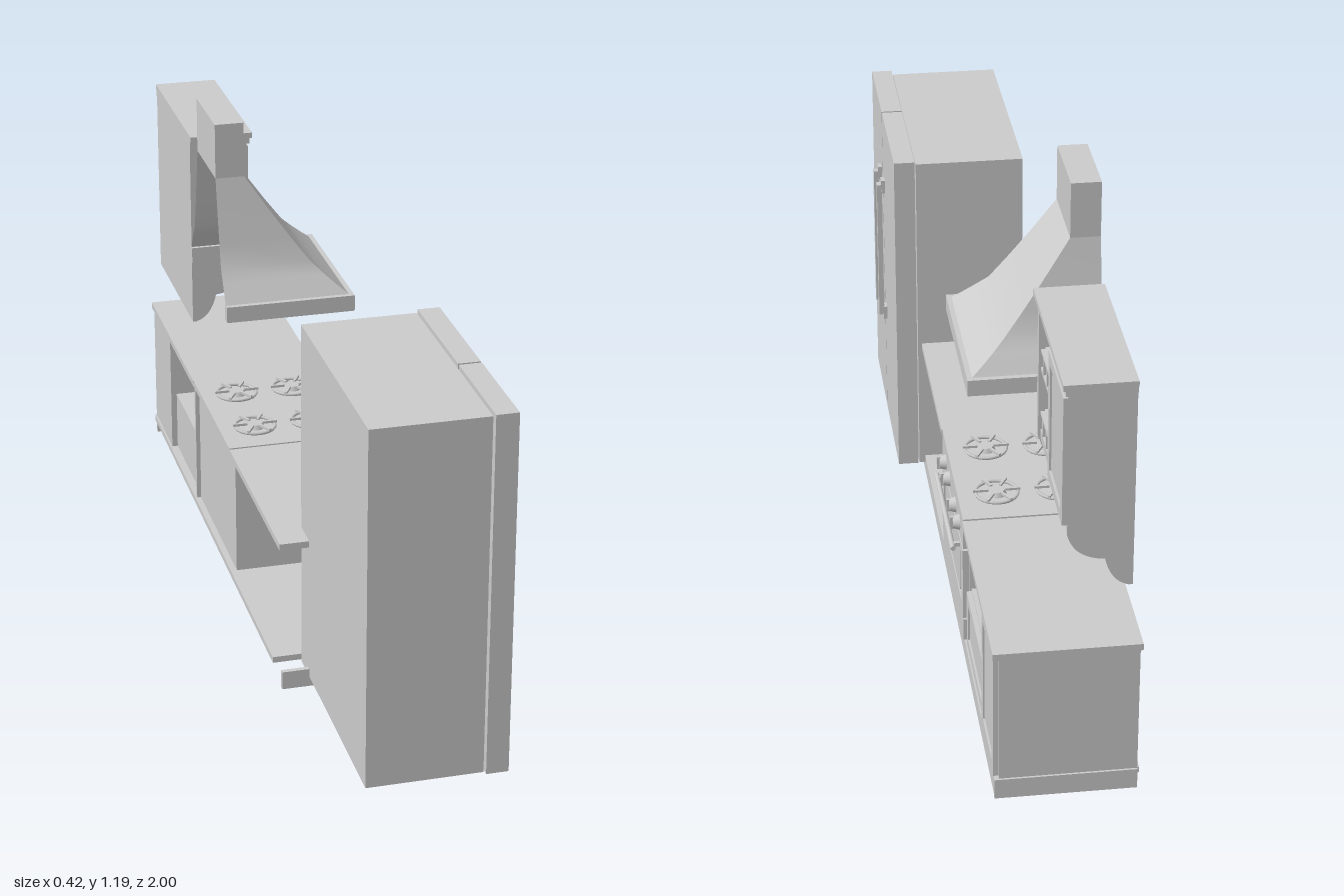
import * as THREE from 'three';

const mat = new THREE.MeshStandardMaterial({ color: 0xcccccc });
const thin = new THREE.MeshStandardMaterial({ color: 0xcccccc, side: THREE.DoubleSide });

function add(parent, name, geo, material = mat) {
  const m = new THREE.Mesh(geo, material);
  m.name = name;
  parent.add(m);
  return m;
}

function box(parent, name, x0, x1, y0, y1, z0, z1) {
  const m = add(parent, name, new THREE.BoxGeometry(x1 - x0, y1 - y0, Math.abs(z1 - z0)));
  m.position.set((x0 + x1) / 2, (y0 + y1) / 2, (z0 + z1) / 2);
  return m;
}

function group(parent, name) {
  const g = new THREE.Group();
  g.name = name;
  parent.add(g);
  return g;
}

// Framed door facing +x, with a raised centre panel
function panelDoor(parent, name, x, y0, y1, z0, z1, w = 0.025, t = 0.012) {
  const g = group(parent, name);
  box(g, 'backing', x, x + t * 0.35, y0, y1, z0, z1);
  box(g, 'stile', x, x + t, y0, y1, z0, z0 + w);
  box(g, 'stile', x, x + t, y0, y1, z1 - w, z1);
  box(g, 'rail', x, x + t, y0, y0 + w, z0 + w, z1 - w);
  box(g, 'rail', x, x + t, y1 - w, y1, z0 + w, z1 - w);
  const p = w + 0.01;
  box(g, 'raisedPanel', x, x + t * 0.75, y0 + p, y1 - p, z0 + p, z1 - p);
}

function buildFridge(root) {
  const g = group(root, 'fridge');
  box(g, 'fridgeBody', -0.14, 0.13, 0.03, 0.895, 0.415, 0.99);
  box(g, 'fridgeDoor', 0.133, 0.185, 0.03, 0.902, 0.412, 0.727);
  box(g, 'fridgeDoor', 0.133, 0.185, 0.03, 0.902, 0.733, 1.0);
  for (const z of [0.685, 0.77]) {
    box(g, 'fridgeHandle', 0.193, 0.206, 0.34, 0.72, z - 0.01, z + 0.01);
    for (const y of [0.345, 0.715]) box(g, 'handleMount', 0.185, 0.195, y - 0.018, y + 0.018, z - 0.012, z + 0.012);
  }
}

function buildBase(root) {
  const g = group(root, 'baseUnits');
  // Toe kick frame and floor
  box(g, 'toeKickFront', 0.105, 0.115, 0.005, 0.05, -0.99, 0.49);
  box(g, 'toeKickEnd', -0.205, 0.115, 0.005, 0.05, 0.478, 0.49);
  box(g, 'toeKickEnd', -0.205, 0.115, 0.0, 0.05, -0.998, -0.985);
  box(g, 'floorPanel', -0.21, 0.11, 0.035, 0.05, -0.99, 0.415);
  // Counter, split around the range
  box(g, 'counter', -0.21, 0.12, 0.37, 0.386, -0.03, 0.49);
  box(g, 'counter', -0.21, 0.12, 0.37, 0.386, -1.0, -0.455);
  // Door cabinet
  box(g, 'doorCabinet', -0.205, 0.105, 0.05, 0.37, -0.993, -0.778);
  panelDoor(g, 'cabinetDoor', 0.105, 0.055, 0.365, -0.988, -0.783);
  // Open niche over a drawer
  box(g, 'drawerCabinet', -0.19, 0.1, 0.05, 0.205, -0.778, -0.458);
  box(g, 'nicheSide', -0.205, 0.105, 0.05, 0.37, -0.466, -0.455);
  panelDoor(g, 'drawerFront', 0.1, 0.055, 0.2, -0.77, -0.468);
}

function buildRange(root) {
  const g = group(root, 'range');
  const z0 = -0.452, z1 = -0.032, zc = (z0 + z1) / 2;
  box(g, 'rangeBody', -0.195, 0.105, 0.05, 0.375, z0, z1);
  box(g, 'cooktop', -0.21, 0.118, 0.372, 0.388, z0, z1);
  box(g, 'controlPanel', 0.105, 0.118, 0.308, 0.372, z0, z1);
  box(g, 'warmingDrawer', 0.105, 0.118, 0.053, 0.11, z0, z1);
  // Oven door with recessed window
  panelDoor(g, 'ovenDoor', 0.105, 0.115, 0.302, z0, z1, 0.03, 0.014);
  box(g, 'ovenWindow', 0.105, 0.117, 0.147, 0.272, zc - 0.135, zc + 0.135);
  const bar = add(g, 'ovenHandle', new THREE.CylinderGeometry(0.006, 0.006, 0.34, 12));
  bar.rotation.x = Math.PI / 2;
  bar.position.set(0.137, 0.285, zc);
  for (const s of [-1, 1]) box(g, 'handleMount', 0.118, 0.137, 0.28, 0.29, zc + s * 0.15 - 0.005, zc + s * 0.15 + 0.005);
  // Knobs
  for (const z of [-0.105, -0.183, -0.302, -0.38]) {
    const k = add(g, 'knob', new THREE.CylinderGeometry(0.014, 0.019, 0.016, 20));
    k.rotation.z = -Math.PI / 2;
    k.position.set(0.126, 0.338, z);
    box(g, 'knobGrip', 0.132, 0.14, 0.322, 0.354, z - 0.004, z + 0.004);
  }
  // Burners with grates
  for (const x of [-0.12, 0.025]) for (const z of [-0.14, -0.345]) {
    const b = group(g, 'burner');
    b.position.set(x, 0.388, z);
    const ring = add(b, 'grateRing', new THREE.TorusGeometry(0.05, 0.004, 6, 28));
    ring.rotation.x = Math.PI / 2;
    ring.position.y = 0.004;
    add(b, 'burnerCap', new THREE.CylinderGeometry(0.018, 0.024, 0.012, 20)).position.y = 0.005;
    for (let i = 0; i < 6; i++) {
      const a = i * Math.PI / 3;
      const arm = add(b, 'grateArm', new THREE.BoxGeometry(0.036, 0.006, 0.006));
      arm.position.set(Math.cos(a) * 0.038, 0.01, Math.sin(a) * 0.038);
      arm.rotation.y = -a;
    }
  }
}

function buildHood(root) {
  const g = group(root, 'rangeHood');
  const zc = -0.2475, back = -0.21;
  box(g, 'chimney', back, -0.14, 1.05, 1.185, zc - 0.1025, zc + 0.1025);
  // Flared skirt, sections as [height, front x, half width]
  const rows = [[1.05, -0.14, 0.1025], [0.97, -0.086, 0.119], [0.895, -0.033, 0.136],
    [0.835, 0.012, 0.15], [0.805, 0.043, 0.17], [0.78, 0.071, 0.186], [0.76, 0.095, 0.199]];
  const edges = [
    ([y, x, h]) => [back, y, zc + h, x, y, zc + h],
    ([y, x, h]) => [x, y, zc + h, x, y, zc - h],
    ([y, x, h]) => [x, y, zc - h, back, y, zc - h]];
  for (const edge of edges) {
    const idx = [];
    for (let i = 0; i < rows.length - 1; i++) {
      const a = i * 2;
      idx.push(a, a + 2, a + 3, a, a + 3, a + 1);
    }
    const geo = new THREE.BufferGeometry();
    geo.setAttribute('position', new THREE.Float32BufferAttribute(rows.flatMap(edge), 3));
    geo.setIndex(idx);
    geo.computeVertexNormals();
    add(g, 'hoodSkirt', geo, thin);
  }
  // Rim, open at the wall
  box(g, 'rimFront', 0.085, 0.107, 0.72, 0.76, zc - 0.212, zc + 0.212);
  for (const s of [-1, 1]) box(g, 'rimSide', back, 0.085, 0.72, 0.76, zc + s * 0.212, zc + s * 0.19);
}

function buildWallCabinet(root) {
  const g = group(root, 'wallCabinet');
  const xb = -0.19, xf = -0.045, z0 = -0.958, z1 = -0.54, zm = -0.748;
  // Side panels and middle divider with scooped lower brackets
  const s = new THREE.Shape();
  s.moveTo(xb, 0.515);
  s.lineTo(-0.175, 0.517);
  s.quadraticCurveTo(-0.14, 0.53, -0.128, 0.585);
  s.quadraticCurveTo(-0.06, 0.59, xf, 0.65);
  s.lineTo(xf, 0.985);
  s.lineTo(xb, 0.985);
  for (const z of [z0, zm - 0.006, z1 - 0.012]) {
    add(g, 'sidePanel', new THREE.ExtrudeGeometry(s, { depth: 0.012, bevelEnabled: false, curveSegments: 10 })).position.z = z;
  }
  box(g, 'backPanel', xb, xb + 0.01, 0.515, 0.985, z0, z1);
  box(g, 'topPanel', xb, xf, 0.97, 0.988, z0, z1);
  box(g, 'bottomPanel', xb, xf, 0.66, 0.674, z0, z1);
  box(g, 'lowShelf', xb, -0.145, 0.545, 0.556, z0, z1);
  // Door side
  panelDoor(g, 'wallCabinetDoor', xf, 0.676, 0.985, z0, zm);
  // Open side: face frame, shelves and cubby rows
  box(g, 'faceStile', xf - 0.01, xf + 0.005, 0.66, 0.985, z1 - 0.02, z1);
  box(g, 'faceStile', xf - 0.01, xf + 0.005, 0.66, 0.985, zm, zm + 0.012);
  for (const y of [0.674, 0.832]) {
    box(g, 'cubbyFloor', xb, xf, y, y + 0.008, zm, z1);
    box(g, 'cubbyTop', xb, xf, y + 0.047, y + 0.054, zm, z1);
    for (let i = 1; i < 4; i++) {
      const z = zm + (z1 - zm) * i / 4;
      box(g, 'cubbyDivider', xb, xf, y, y + 0.054, z - 0.005, z + 0.005);
    }
  }
  // Stepped crown moulding
  [[0.98, 0.992, 0.0], [0.992, 1.008, 0.006], [1.008, 1.022, 0.012]].forEach(([a, b, o]) =>
    box(g, 'crown', xb, xf + 0.002 + o, a, b, z0 - o, z1 + o));
}

export function createModel() {
  const root = new THREE.Group();
  root.name = 'kitchen';
  buildFridge(root);
  buildBase(root);
  buildRange(root);
  buildHood(root);
  buildWallCabinet(root);
  return root;
}
